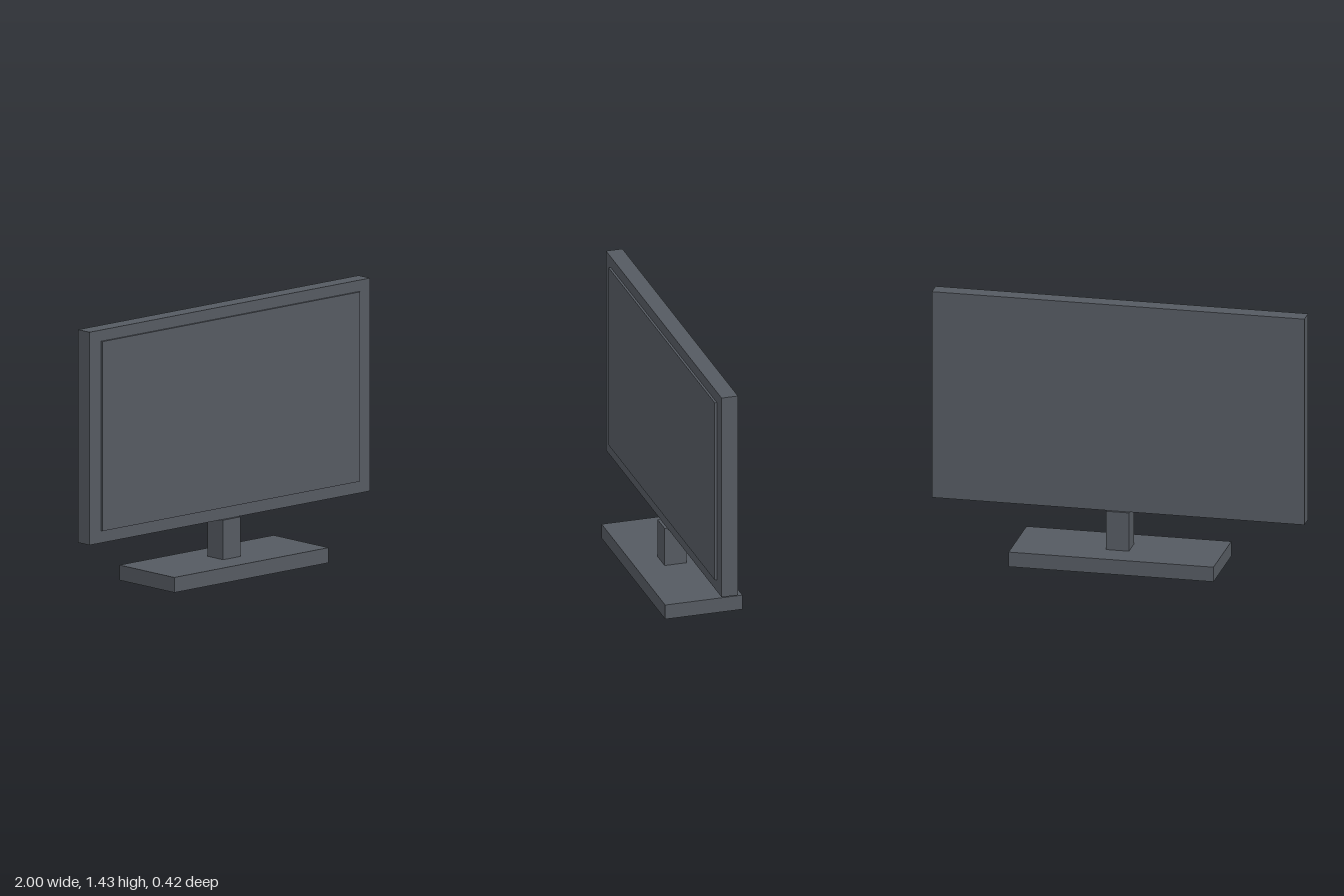
import * as THREE from 'three';

export function createModel() {
  const group = new THREE.Group();
  const slateGrey = new THREE.MeshStandardMaterial({ color: 0x555a61 });
  slateGrey.name = 'slateGrey';

  // Box given by its size, bottom height and centre depth
  const addBox = (name, width, height, depth, bottom, z = 0) => {
    const mesh = new THREE.Mesh(new THREE.BoxGeometry(width, height, depth), slateGrey);
    mesh.name = name;
    mesh.position.set(0, bottom + height / 2, z);
    group.add(mesh);
  };

  // Stand
  addBox('base', 1.1, 0.081, 0.424, 0);
  addBox('neck', 0.123, 0.212, 0.12, 0.081);

  // Display housing with the slightly raised screen on its front
  addBox('housing', 2, 1.14, 0.09, 0.293);
  addBox('screen', 1.836, 1.015, 0.012, 0.358, 0.051);

  return group;
}
